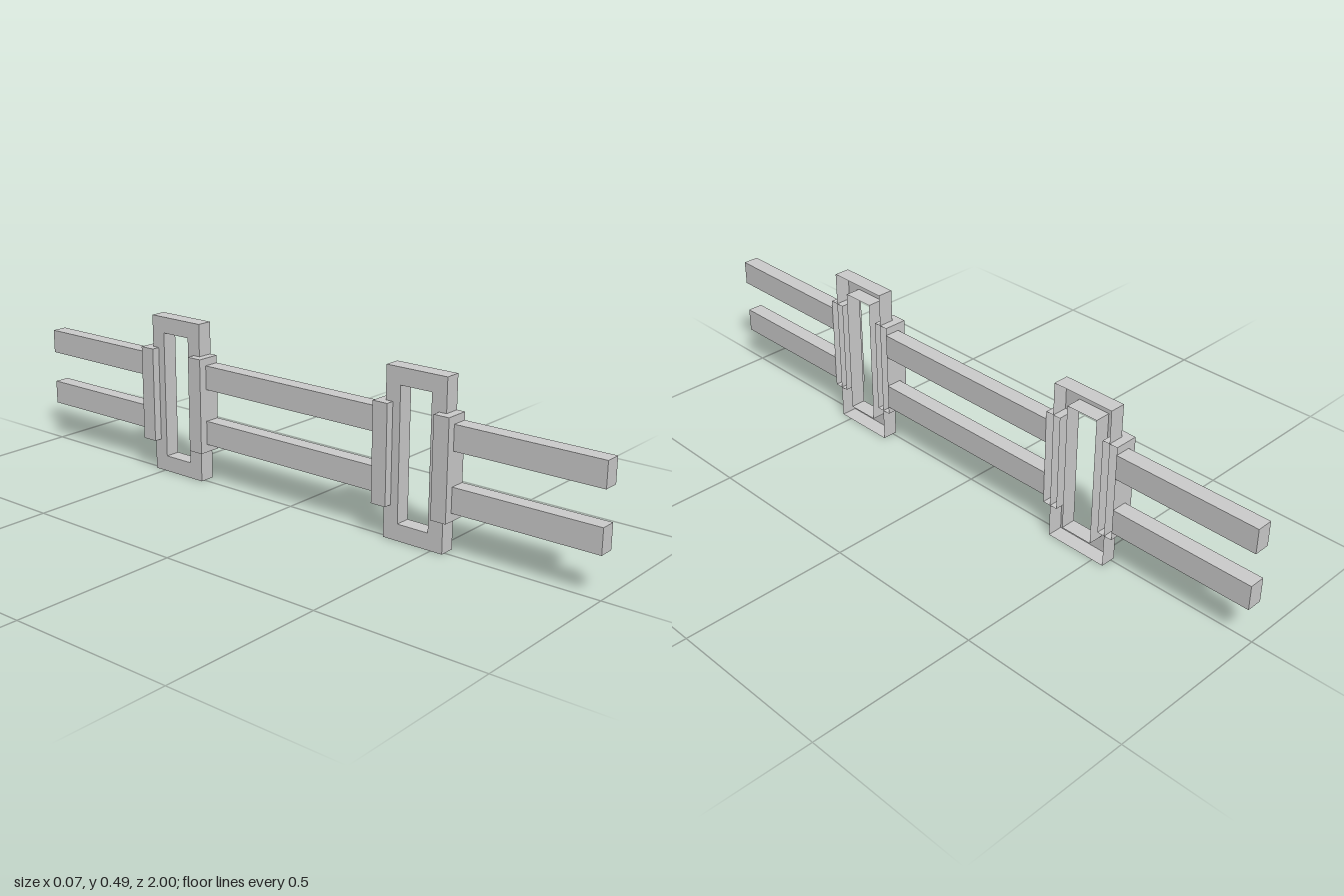
import * as THREE from 'three';

const material = new THREE.MeshStandardMaterial({ color: 0xcccccc, side: THREE.DoubleSide });
const BACK = -0.0375, MID = -0.0125, FRONT = 0.035;

function rectangle(PathType, w, y0, y1) {
  return new PathType([[-w / 2, y0], [w / 2, y0], [w / 2, y1], [-w / 2, y1]]
    .map(([x, y]) => new THREE.Vector2(x, y)));
}

// Extrudes a z-y outline along x and leaves the +x side open
function openShell(name, shape, x0, z) {
  const geometry = new THREE.ExtrudeGeometry(shape, { depth: FRONT - x0, bevelEnabled: false });
  const caps = geometry.groups[0].count, total = geometry.attributes.position.count;
  const index = [];
  for (let i = 0; i < total; i++) if (i < caps / 2 || i >= caps) index.push(i);
  geometry.setIndex(index);
  geometry.clearGroups();
  geometry.rotateY(Math.PI / 2);
  const mesh = new THREE.Mesh(geometry, material);
  mesh.name = name;
  mesh.position.set(x0, 0, z);
  return mesh;
}

// Solid rail between two z positions
function rail(name, y, z0, z1) {
  const mesh = new THREE.Mesh(new THREE.BoxGeometry(FRONT - MID, 0.073, z1 - z0), material);
  mesh.name = name;
  mesh.position.set((FRONT + MID) / 2, y, (z0 + z1) / 2);
  return mesh;
}

export function createModel() {
  const model = new THREE.Group();
  model.name = 'railWithFrames';

  // Two rails, interrupted at the upright frames
  for (const [level, y] of [['lower', 0.1595], ['upper', 0.3305]]) {
    model.add(rail(level + 'RailFront', y, 0.562, 1));
    model.add(rail(level + 'RailMiddle', y, -0.318, 0.318));
    model.add(rail(level + 'RailBack', y, -1, -0.562));
  }

  for (const [end, side] of [['front', 1], ['back', -1]]) {
    const centre = side * 0.44;

    // Upright rectangular frame, hollow from the +x side
    const outline = rectangle(THREE.Shape, 0.194, 0, 0.488);
    outline.holes.push(rectangle(THREE.Path, 0.1, 0.049, 0.439));
    model.add(openShell(end + 'Frame', outline, MID, centre));

    // Brackets straddling both uprights of the frame
    for (const [place, offset] of [['Outer', 0.098], ['Inner', -0.098]]) {
      const bracket = rectangle(THREE.Shape, 0.048, 0.099, 0.39);
      model.add(openShell(end + place + 'Bracket', bracket, BACK, centre + side * offset));
    }
  }
  return model;
}
